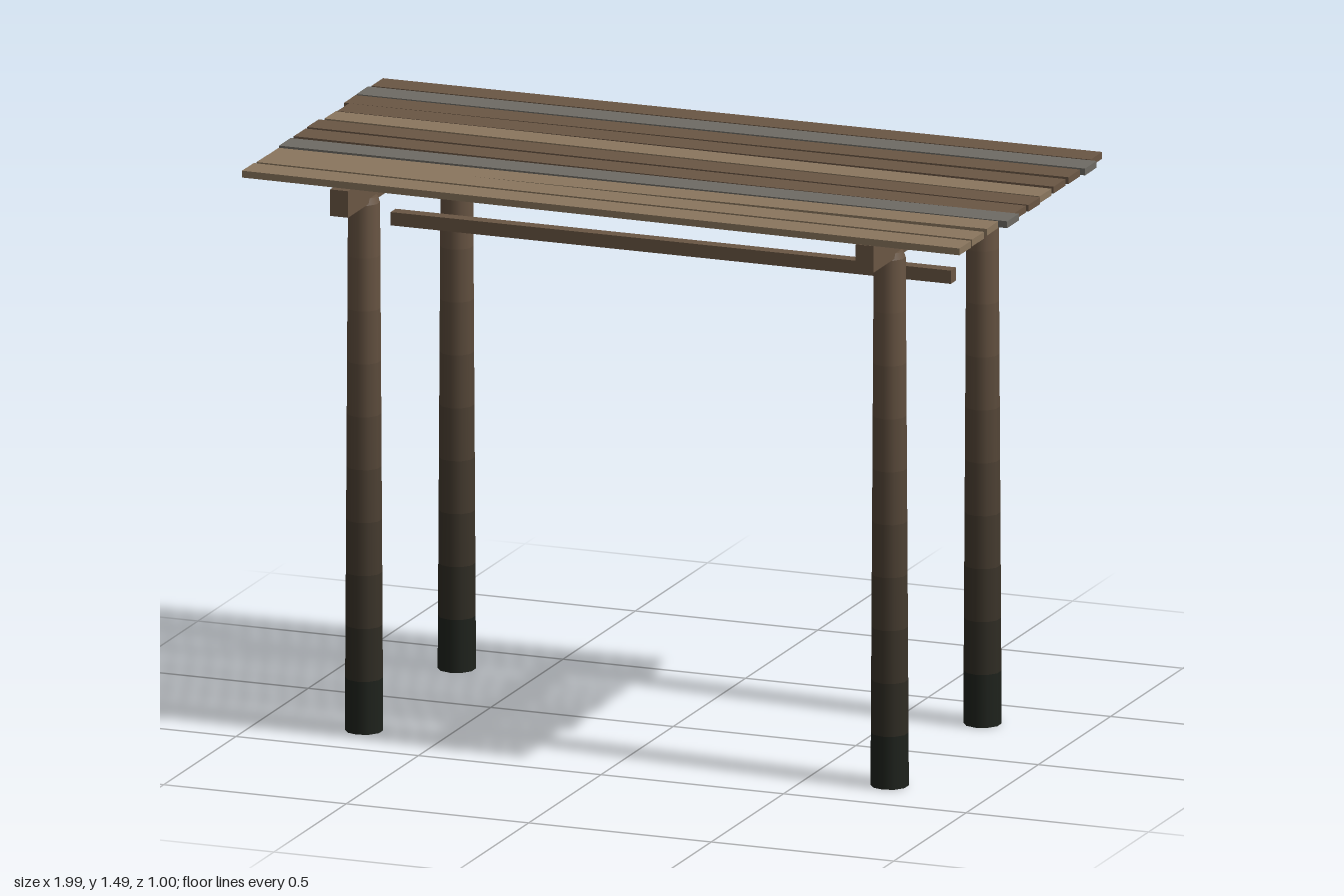
import * as THREE from 'three';

const BROWN = 0x6a5644, TAN = 0x8a765e, GREY = 0x6e6b64, WET = 0x1e221c;
const material = (color) => new THREE.MeshStandardMaterial({ color });

function box(name, size, position, mat) {
  const mesh = new THREE.Mesh(new THREE.BoxGeometry(...size), mat);
  mesh.name = name;
  mesh.position.set(...position);
  return mesh;
}

// Tapered round pile: stacked bands darken from dry wood to wet foot
function makePile(bandMats) {
  const pile = new THREE.Group();
  const height = 1.395, bottomR = 0.049, topR = 0.041, sides = 10;
  const n = bandMats.length;
  const add = (name, geometry, mat, y) => {
    const mesh = new THREE.Mesh(geometry, mat);
    mesh.name = name;
    mesh.position.y = y;
    pile.add(mesh);
    return mesh;
  };
  const radius = (t) => THREE.MathUtils.lerp(bottomR, topR, t);
  bandMats.forEach((mat, i) => {
    const h = height / n;
    add('pileBand', new THREE.CylinderGeometry(radius((i + 1) / n), radius(i / n), h, sides, 1, true), mat, (i + 0.5) * h);
  });
  // Chamfered head and flat foot
  add('pileHead', new THREE.CylinderGeometry(0.035, topR, 0.017, sides), bandMats[n - 1], height + 0.0085);
  const foot = add('pileFoot', new THREE.CircleGeometry(bottomR, sides), bandMats[0], 0);
  foot.rotation.set(Math.PI / 2, 0, Math.PI / 2);
  return pile;
}

export function createModel() {
  const model = new THREE.Group();
  model.name = 'dock';
  const brown = material(BROWN), tan = material(TAN), grey = material(GREY);

  // Four piles
  const bands = 10;
  const bandMats = Array.from({ length: bands }, (_, i) =>
    material(new THREE.Color(WET).lerp(new THREE.Color(BROWN), Math.min(1, (i / (bands - 1)) * 1.05))));
  for (const x of [-0.72, 0.72]) {
    for (const z of [-0.321, 0.321]) {
      const pile = makePile(bandMats);
      pile.name = 'pile';
      pile.position.set(x, 0, z);
      model.add(pile);
    }
    // Cross beam resting on each pair of piles
    model.add(box('crossBeam', [0.049, 0.07, 0.988], [x, 1.434, 0], brown));
  }

  // Long brace under the deck
  model.add(box('brace', [1.535, 0.035, 0.035], [0, 1.268, 0], brown));

  // Deck planks: [left end x, right end x, z at left end, z at right end, material]
  const planks = [
    [-0.99, 0.975, -0.452, -0.465, brown],
    [-0.995, 0.995, -0.361, -0.376, grey],
    [-0.995, 0.985, -0.275, -0.286, brown],
    [-0.98, 0.985, -0.191, -0.184, brown],
    [-0.985, 0.985, -0.115, -0.088, tan],
    [-0.995, 0.99, -0.019, 0.003, brown],
    [-0.995, 0.985, 0.072, 0.088, brown],
    [-0.995, 0.998, 0.174, 0.17, grey],
    [-0.99, 0.975, 0.27, 0.254, tan],
    [-0.99, 0.98, 0.342, 0.366, tan],
    [-0.995, 0.98, 0.43, 0.455, tan],
  ];
  const deck = new THREE.Group();
  deck.name = 'deck';
  planks.forEach(([x0, x1, z0, z1, mat], i) => {
    const y = 1.478 + (i % 2) * 0.001; // tiny step where neighbours overlap
    const plank = box('plank', [Math.hypot(x1 - x0, z1 - z0), 0.018, 0.08], [(x0 + x1) / 2, y, (z0 + z1) / 2], mat);
    plank.rotation.y = -Math.atan2(z1 - z0, x1 - x0);
    deck.add(plank);
  });
  model.add(deck);
  return model;
}
